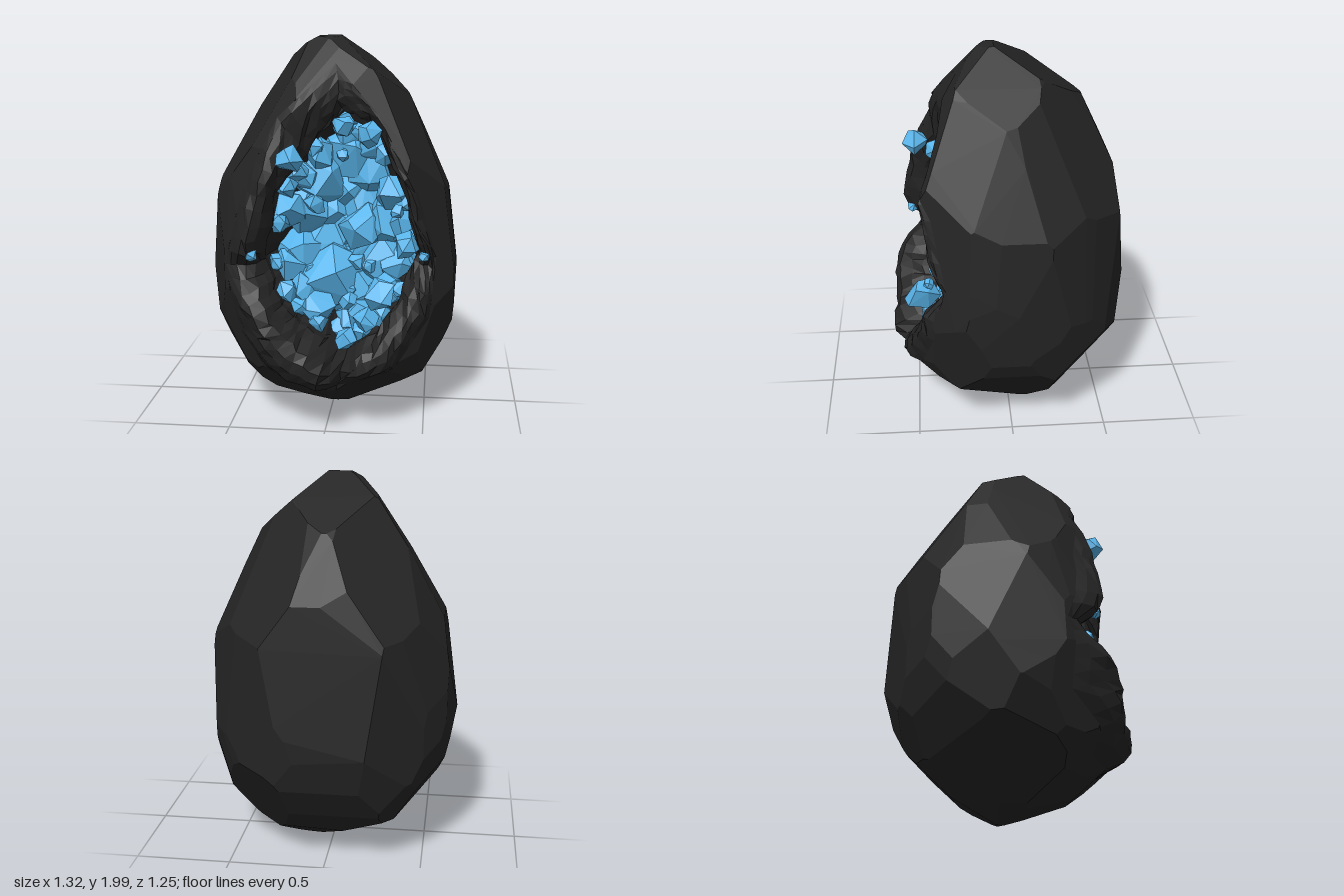
import * as THREE from 'three';
import { ConvexGeometry } from 'three/addons/geometries/ConvexGeometry.js';

const V2 = (x, y) => new THREE.Vector2(x, y);
const V3 = (x, y, z) => new THREE.Vector3(x, y, z);
const { lerp, smoothstep, degToRad } = THREE.MathUtils;

// seeded random numbers
let seed = 7;
const rnd = () => {
  seed = (seed * 16807) % 2147483647;
  return seed / 2147483647;
};

// evenly spread, slightly jittered directions
function directions(count, jitter) {
  const list = [];
  for (let i = 0; i < count; i++) {
    const y = 1 - (2 * (i + 0.5)) / count, r = Math.sqrt(1 - y * y), a = i * 2.39996;
    const j = () => (rnd() - 0.5) * jitter;
    list.push(V3(r * Math.cos(a) + j(), y + j(), r * Math.sin(a) + j()).normalize());
  }
  return list;
}

// egg profile [radius, y], and its outlines along z [x, y], along x [z, y] and from the top [x, z]
const PROFILE = [[0.1, 0], [0.25, 0.06], [0.46, 0.2], [0.59, 0.4], [0.65, 0.75], [0.6, 1.2],
  [0.47, 1.5], [0.34, 1.75], [0.18, 1.92], [0.06, 2]];
const FRONT = [[0.05, 0], [-0.16, 0.06], [-0.56, 0.35], [-0.66, 0.75], [-0.58, 1.27], [-0.4, 1.62],
  [-0.2, 1.92], [-0.07, 1.99], [0.1, 2], [0.38, 1.73], [0.61, 1.19], [0.66, 0.8], [0.64, 0.5],
  [0.59, 0.4], [0.38, 0.12], [0.13, 0.01]];
const SIDE = [[0.16, 1.98], [0, 2], [-0.37, 1.76], [-0.54, 1.4], [-0.62, 0.65], [-0.57, 0.45],
  [-0.46, 0.28], [-0.25, 0.08], [-0.1, 0], [0.05, 0.02], [0.38, 0.12], [0.55, 0.25], [0.61, 0.4],
  [0.6, 0.72], [0.53, 1.2], [0.38, 1.68]];
const TOP = [[-0.22, -0.62], [0.22, -0.61], [0.48, -0.47], [0.59, -0.32], [0.66, -0.02], [0.64, 0.28],
  [0.57, 0.42], [0.36, 0.57], [-0.25, 0.61], [-0.5, 0.46], [-0.66, 0.03], [-0.6, -0.32], [-0.54, -0.39]];
// slanted outlines about the point (0, 1, 0): turn, tilt, points
const SLANTED = [
  [35, 25, [[-0.04, 0.92], [0.06, 0.89], [0.26, 0.79], [0.61, 0.24], [0.66, -0.29], [0.6, -0.59],
    [0.58, -0.66], [0.35, -0.86], [-0.09, -0.95], [-0.32, -0.87], [-0.54, -0.69], [-0.67, -0.19],
    [-0.6, 0.27], [-0.16, 0.87]]],
  [215, 25, [[-0.02, 0.96], [0.1, 0.93], [0.31, 0.76], [0.55, 0.41], [0.6, 0.24], [0.67, -0.13],
    [0.67, -0.22], [0.6, -0.5], [0.51, -0.68], [0.1, -0.9], [-0.1, -0.92], [-0.37, -0.83],
    [-0.64, -0.46], [-0.66, -0.28], [-0.61, 0.23], [-0.32, 0.74], [-0.1, 0.93]]],
  [145, -25, [[-0.07, 0.89], [0.24, 0.79], [0.59, 0.28], [0.65, -0.13], [0.65, -0.34], [0.6, -0.51],
    [0.45, -0.71], [0.04, -0.93], [-0.2, -0.92], [-0.54, -0.69], [-0.67, -0.47], [-0.7, 0.02],
    [-0.67, 0.17], [-0.34, 0.71]]],
];

// the facets are planes n.p = h wrapped around the egg
function eggPlanes() {
  const planes = directions(44, 0.26).map((n) => {
    const nr = Math.hypot(n.x, 0.96 * n.z);
    return { n, h: Math.max(...PROFILE.map(([r, y]) => nr * r + n.y * y)) + 0.012 };
  });
  const addOutline = (pts, right, up, middle, baseY) => pts.forEach((p, i) => {
    const q = pts[(i + 1) % pts.length];
    const e = V2(p[1] - q[1], q[0] - p[0]).normalize();
    if (p[0] * e.x + (p[1] - middle) * e.y < 0) e.negate();
    const n = right.clone().multiplyScalar(e.x).addScaledVector(up, e.y);
    planes.push({ n, h: Math.max(...pts.map(([a, b]) => a * e.x + b * e.y)) + n.y * baseY });
  });
  const X = V3(1, 0, 0), Y = V3(0, 1, 0), Z = V3(0, 0, 1);
  addOutline(FRONT, X, Y, 0.95, 0);
  addOutline(SIDE, Z, Y, 0.95, 0);
  addOutline(TOP, X, Z, 0, 0);
  SLANTED.forEach(([turn, tilt, pts]) => {
    const q = new THREE.Quaternion().setFromEuler(new THREE.Euler(-degToRad(tilt), degToRad(turn), 0, 'YXZ'));
    addOutline(pts, X.clone().applyQuaternion(q), Y.clone().applyQuaternion(q), 0, 1);
  });
  return planes;
}

// keep the part of a polygon where n.p <= h
function clip(poly, n, h) {
  const out = [];
  poly.forEach((p, i) => {
    const q = poly[(i + 1) % poly.length];
    const a = n.dot(p) - h, b = n.dot(q) - h;
    if (a <= 0) out.push(p);
    if ((a < 0 && b > 0) || (a > 0 && b < 0)) out.push(p.clone().lerp(q, a / (a - b)));
  });
  return out;
}

// outer edge of the broken rim and edge of the crystal bed, clockwise from the top
const RIM = [[0.03, 1.86], [0.25, 1.62], [0.45, 1.25], [0.55, 0.9], [0.52, 0.6], [0.35, 0.35],
  [0.05, 0.2], [-0.2, 0.25], [-0.45, 0.5], [-0.52, 0.85], [-0.42, 1.25], [-0.25, 1.6]];
const BED = [[0.06, 1.62], [0.24, 1.53], [0.38, 1.24], [0.45, 0.92], [0.37, 0.7], [0.25, 0.52],
  [0.1, 0.42], [-0.1, 0.54], [-0.22, 0.65], [-0.32, 0.86], [-0.26, 1.2], [-0.11, 1.42]];
const CENTRE = V2(0.05, 0.98);
const STEPS = 5;

function subdivide(pts) {
  return pts.flatMap((p, i) => {
    const q = pts[(i + 1) % pts.length];
    return Array.from({ length: STEPS }, (_, k) => V2(...p).lerp(V2(...q), k / STEPS));
  });
}

function flatMesh(name, positions, material) {
  const g = new THREE.BufferGeometry();
  g.setAttribute('position', new THREE.Float32BufferAttribute(positions, 3));
  g.computeVertexNormals();
  const mesh = new THREE.Mesh(g, material);
  mesh.name = name;
  return mesh;
}

// faceted outside of the egg, with the opening cut out of the front
function shellPositions(planes) {
  const pos = [];
  const fan = (poly) => {
    for (let i = 1; i + 1 < poly.length; i++)
      for (const p of [poly[0], poly[i], poly[i + 1]]) pos.push(p.x, p.y, p.z);
  };
  planes.forEach(({ n, h }, index) => {
    const u = V3(n.y, n.z, -n.x).cross(n).normalize(), v = n.clone().cross(u);
    let poly = [[-4, -4], [4, -4], [4, 4], [-4, 4]].map(([a, b]) =>
      n.clone().multiplyScalar(h).addScaledVector(u, a).addScaledVector(v, b));
    planes.forEach((o, j) => { if (j !== index) poly = clip(poly, o.n, o.h); });
    if (n.z <= 1e-6) return fan(poly);
    RIM.forEach((p, i) => {
      const q = RIM[(i + 1) % RIM.length];
      const e = V3(p[1] - q[1], q[0] - p[0], 0).normalize();
      const d = e.x * p[0] + e.y * p[1];
      fan(clip(poly, e.clone().negate(), -d));
      poly = clip(poly, e, d);
    });
  });
  return pos;
}

export function createModel() {
  const group = new THREE.Group();
  group.name = 'crystalEgg';
  const stone = new THREE.MeshStandardMaterial({ color: 0x242424, flatShading: true, side: THREE.DoubleSide });
  const blue = new THREE.MeshStandardMaterial({ color: 0x5ab6ec, flatShading: true });

  const planes = eggPlanes();
  const hullZ = (x, y) => Math.min(...planes.filter((p) => p.n.z > 1e-6)
    .map(({ n, h }) => (h - n.x * x - n.y * y) / n.z));
  group.add(flatMesh('eggShell', shellPositions(planes), stone));

  // broken rim: a swollen lip, falling inwards, notched at the sides and bottom
  const rim = subdivide(RIM), bed = subdivide(BED), count = rim.length;
  const bump = (d, w) => Math.exp(-((d / w) ** 2));
  const rimPoint = (i, t) => {
    const p = rim[i].clone().lerp(bed[i], t);
    const inside = Math.sin(Math.PI * Math.min(t, 0.5)), swell = Math.sin(Math.PI * t ** 0.8);
    const upper = smoothstep(p.y, 0.7, 1.4);
    const lip = (p.x < CENTRE.x ? 0.075 : 0.05) * (1 - smoothstep(p.y, 1.15, 1.6))
      * (1 - 0.4 * smoothstep(Math.abs(p.x), 0.25, 0.5));
    let z = hullZ(p.x, p.y) + lip * swell - 0.14 * lerp(t ** 4, t ** 1.8, upper);
    z -= inside * (0.1 * bump(p.y - 0.84, 0.08) + 0.1 * bump(p.x - 0.07, 0.05) * (p.y < 0.7 ? 1 : 0));
    const rough = 0.022 * inside;
    return V3(p.x + (rnd() - 0.5) * rough, p.y + (rnd() - 0.5) * rough, z - rnd() * rough);
  };
  const rings = [0, 0.15, 0.35, 0.55, 0.75, 0.9, 1].map((t) => rim.map((_, i) => rimPoint(i, t)));

  // hollow behind the crystals
  const edge = rings[rings.length - 1];
  const bedPoint = (i, s, depth) => {
    const e = edge[i];
    return V3(lerp(CENTRE.x, e.x, s), lerp(CENTRE.y, e.y, s), lerp(depth, e.z, s * s));
  };
  [1.02, 0.95, 0.7, 0.4, 0].forEach((s) => rings.push(edge.map((_, i) => {
    const p = bedPoint(i, s, -0.15);
    p.z -= 0.1;
    return p;
  })));

  const rimPos = [];
  for (let r = 0; r + 1 < rings.length; r++)
    for (let i = 0; i < count; i++) {
      const j = (i + 1) % count, a = rings[r], b = rings[r + 1];
      for (const p of [a[i], b[i], a[j], a[j], b[i], b[j]]) rimPos.push(p.x, p.y, p.z);
    }
  group.add(flatMesh('brokenRim', rimPos, stone));

  // crystals: rough convex lumps
  const crystals = new THREE.Group();
  crystals.name = 'crystals';
  group.add(crystals);
  const addCrystal = (p, r) => {
    const pts = directions(r > 0.1 ? 14 : 11, 0.5).map((d) => d.multiplyScalar(r * (0.88 + 0.24 * rnd())));
    const mesh = new THREE.Mesh(new ConvexGeometry(pts), blue);
    mesh.name = 'crystal';
    mesh.position.copy(p);
    mesh.rotation.set(rnd() * 6, rnd() * 6, rnd() * 6);
    crystals.add(mesh);
  };

  // bed of crystals in rings [spread, number, size]
  [[0, 1, 0.18], [0.35, 6, 0.17], [0.65, 10, 0.14], [0.84, 14, 0.1], [0.95, 18, 0.06]].forEach(([s, n, size]) => {
    for (let k = 0; k < n; k++) {
      const i = Math.floor(((k + rnd() * 0.5) / n) * count) % count;
      const p = bedPoint(i, s + (rnd() - 0.5) * 0.04, 0.02);
      p.z -= 0.06;
      addCrystal(p, size * (0.9 + 0.25 * rnd()));
    }
  });
  // small crystals sitting on the bed
  for (let k = 0; k < 8; k++)
    addCrystal(bedPoint(Math.floor(rnd() * count), 0.3 + 0.5 * rnd(), 0.16), 0.035 + 0.03 * rnd());

  // single crystals on the bed and the rim
  [[-0.18, 1.41, 0.47, 0.07], [0.21, 1.52, 0.35, 0.07], [0.28, 0.73, 0.46, 0.09],
    [-0.37, 0.93, 0.5, 0.035], [0.49, 0.92, 0.42, 0.03], [0.4, 0.96, 0.35, 0.075],
    [0.1, 0.48, 0.42, 0.065], [0.2, 0.58, 0.4, 0.07], [0.01, 0.74, 0.15, 0.19],
    [0.17, 1, 0.13, 0.13], [0.35, 1.14, 0.38, 0.04], [0.07, 1.55, 0.3, 0.06]]
    .forEach(([x, y, z, r]) => addCrystal(V3(x, y, z), r));

  return group;
}
